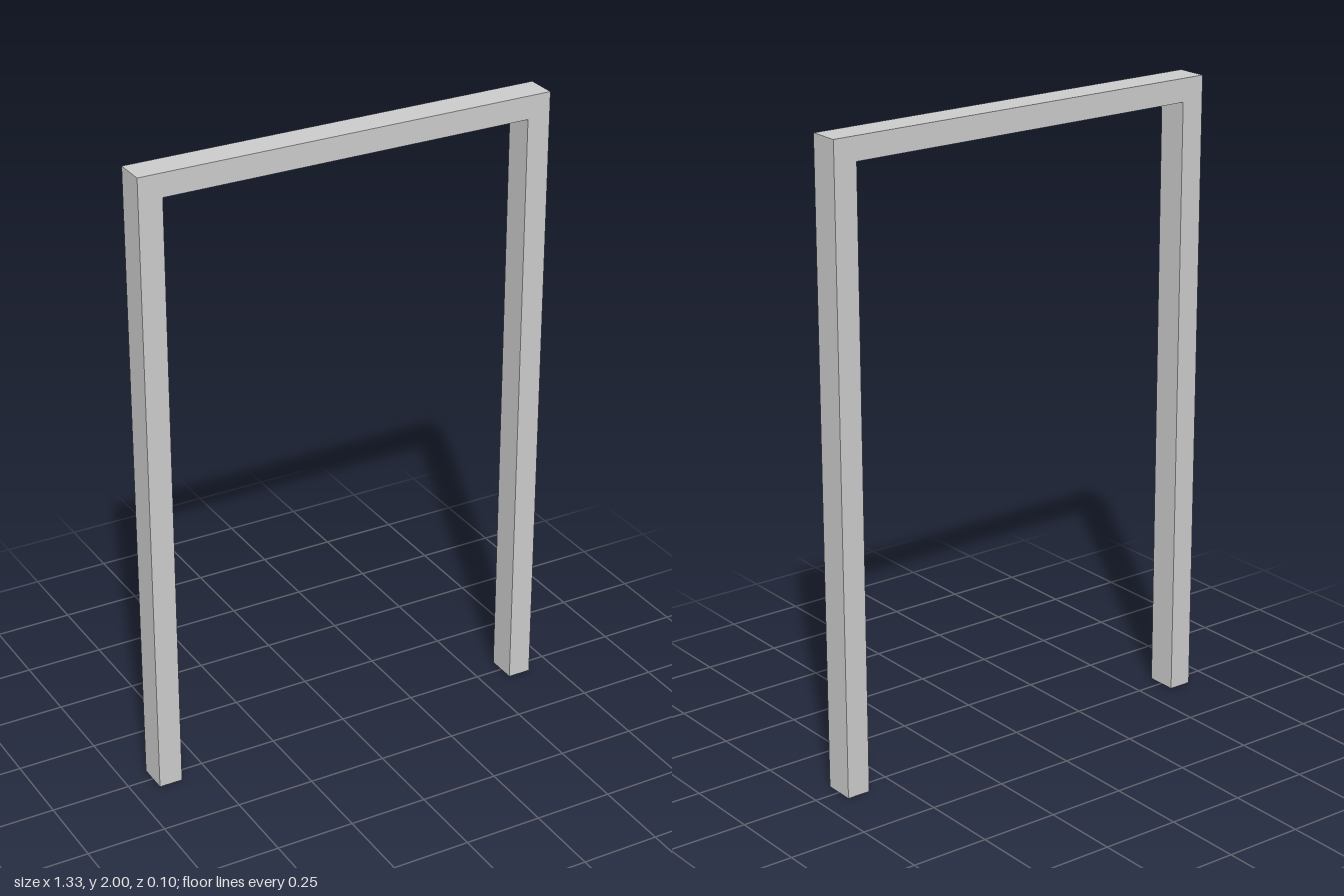
import * as THREE from 'three';

const HALF_WIDTH = 0.667, HEIGHT = 2, DEPTH = 0.098;
const POST = 0.075, LINTEL = 0.073;

export function createModel() {
  const group = new THREE.Group();
  group.name = 'doorway';

  // Continuous frame: two posts joined by a lintel, open at the floor
  const inner = HALF_WIDTH - POST, under = HEIGHT - LINTEL;
  const outline = new THREE.Shape([
    [-HALF_WIDTH, 0], [-inner, 0], [-inner, under], [inner, under],
    [inner, 0], [HALF_WIDTH, 0], [HALF_WIDTH, HEIGHT], [-HALF_WIDTH, HEIGHT],
  ].map(([x, y]) => new THREE.Vector2(x, y)));

  const geometry = new THREE.ExtrudeGeometry(outline, { depth: DEPTH, bevelEnabled: false });
  geometry.translate(0, 0, -DEPTH / 2);

  const frame = new THREE.Mesh(
    geometry,
    new THREE.MeshStandardMaterial({ color: 0xcccccc, flatShading: true }),
  );
  frame.name = 'doorFrame';
  group.add(frame);
  return group;
}
